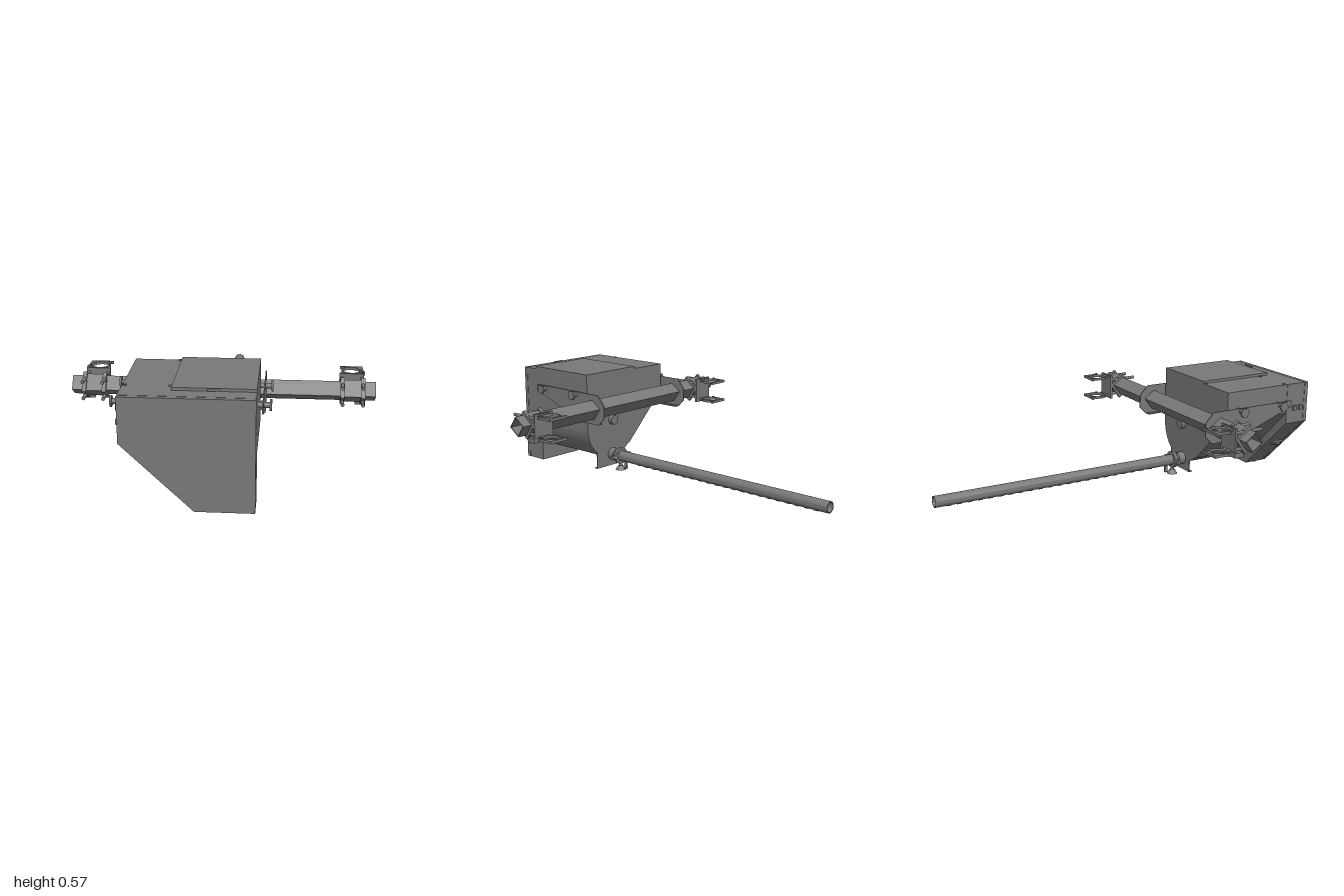
import * as THREE from 'three';
import { toCreasedNormals } from 'three/addons/utils/BufferGeometryUtils.js';

const material = new THREE.MeshStandardMaterial({ color: 0x787878, side: THREE.DoubleSide });

function add(parent, name, geometry, x = 0, y = 0, z = 0) {
  const mesh = new THREE.Mesh(geometry, material);
  mesh.name = name;
  mesh.position.set(x, y, z);
  parent.add(mesh);
  return mesh;
}

const box = (w, h, d) => new THREE.BoxGeometry(w, h, d);
const vectors = (points) => points.map(([x, y]) => new THREE.Vector2(x, y));
const shapeOf = (points) => new THREE.Shape(vectors(points));

// Extrusion centred on its own depth, along z
function plate(shape, depth) {
  const g = new THREE.ExtrudeGeometry(shape, { depth, bevelEnabled: false, curveSegments: 24 });
  g.translate(0, 0, -depth / 2);
  return toCreasedNormals(g, 0.5);
}
// Profile given as (z, y), extruded along x
const sidePlate = (shape, depth) => plate(shape, depth).rotateY(-Math.PI / 2);
// Profile given as (x, z), extruded along y
const flatPlate = (shape, depth) => plate(shape, depth).rotateX(Math.PI / 2);

function cylinder(r, length, axis = 'y', sides = 20) {
  const g = new THREE.CylinderGeometry(r, r, length, sides);
  if (axis === 'x') g.rotateZ(Math.PI / 2);
  if (axis === 'z') g.rotateX(Math.PI / 2);
  return g;
}

function ringShape(outer, inner) {
  const s = new THREE.Shape().absarc(0, 0, outer, 0, Math.PI * 2);
  s.holes.push(new THREE.Path().absarc(0, 0, inner, 0, Math.PI * 2, true));
  return s;
}

const BAR = { y: 0.388, z: 0.395, side: 0.075, turn: 0.62 };

// Square outline turned to match the crossbar
function turnedSquare(side) {
  return [0, 1, 2, 3].map((i) => {
    const a = BAR.turn + Math.PI / 4 + (i * Math.PI) / 2;
    return [Math.cos(a) * side * Math.SQRT1_2, Math.sin(a) * side * Math.SQRT1_2];
  });
}

function squareTube(outer, inner) {
  const s = shapeOf(turnedSquare(outer));
  s.holes.push(new THREE.Path(vectors(turnedSquare(inner).reverse())));
  return s;
}

function buildHopper() {
  const g = new THREE.Group();
  g.name = 'hopper';
  // Round-bottomed trough with one sloping wall
  const trough = new THREE.Shape();
  trough.moveTo(0.19, 0.555);
  trough.lineTo(-0.418, 0.555);
  trough.lineTo(-0.418, 0.395);
  trough.lineTo(-0.139, 0.118);
  trough.absarc(0, 0.257, 0.19, Math.PI * 1.25, Math.PI * 2, false);
  add(g, 'trough', plate(trough, 0.39), 0, 0, 0.665);

  // Deep drive cover at the front
  const cover = shapeOf([[-0.42, 0.555], [-0.42, 0.335], [-0.085, 0.013], [0.19, 0.013], [0.19, 0.555]]);
  add(g, 'frontCover', plate(cover, 0.115), 0, 0, 0.9175);
  add(g, 'frontDoor', plate(cover, 0.022), 0, 0, 0.989);
  const rim = shapeOf([[-0.418, 0.553], [-0.418, 0.336], [-0.084, 0.015], [0.188, 0.015], [0.188, 0.553]]);
  add(g, 'doorSeal', plate(rim, 0.01), 0, 0, 0.977);

  // Lid with its grip and hinge studs
  add(g, 'lid', box(0.38, 0.015, 0.43), 0, 0.5615, 0.685);
  add(g, 'lidGrip', box(0.06, 0.012, 0.012), 0, 0.569, 0.917);
  for (const [x, z] of [[-0.2, 0.48], [-0.2, 0.845], [-0.405, 0.845]])
    add(g, 'topStud', cylinder(0.009, 0.008), x, 0.555, z);

  // Latch on the sloping side, side latches, and drain studs below
  const latch = new THREE.Group();
  latch.name = 'latch';
  latch.position.set(-0.253, 0.178, 0.94);
  latch.rotation.z = -Math.PI / 4;
  add(latch, 'latchBody', box(0.026, 0.025, 0.07));
  add(latch, 'latchLever', box(0.012, 0.03, 0.035), 0, -0.006, 0);
  g.add(latch);
  for (const x of [-0.07, -0.025]) add(g, 'drainStud', cylinder(0.009, 0.01), x, 0.011, 0.93);
  for (const z of [0.91, 0.95]) add(g, 'sideLatch', box(0.014, 0.025, 0.022), -0.426, 0.42, z);

  // Rear apron and bearing hub
  add(g, 'rearApron', box(0.19, 0.1, 0.006), 0.025, 0.065, 0.473);
  add(g, 'apronLip', box(0.19, 0.005, 0.02), 0.025, 0.017, 0.482);
  add(g, 'bearingHub', cylinder(0.027, 0.03, 'z'), 0, 0.285, 0.46);
  return g;
}

function buildTube() {
  const g = new THREE.Group();
  g.name = 'dischargeTube';
  add(g, 'tube', plate(ringShape(0.03, 0.025), 1.48), 0, 0.082, -0.26);
  add(g, 'sleeve', plate(ringShape(0.035, 0.028), 0.05), 0, 0.082, 0.455);
  add(g, 'clampRing', plate(ringShape(0.047, 0.029), 0.018), 0, 0.082, 0.403);
  add(g, 'clampStem', cylinder(0.01, 0.04), 0, 0.03, 0.403);
  add(g, 'clampKnob', new THREE.CylinderGeometry(0.014, 0.03, 0.024, 16), 0, 0.012, 0.403);
  for (const s of [-1, 1]) add(g, 'clampEar', box(0.035, 0.02, 0.016), s * 0.055, 0.082, 0.403);
  add(g, 'tubeTab', box(0.012, 0.045, 0.014), 0, 0.035, 0.36);
  // Row of outlets along the underside
  for (let i = 0; i < 22; i++)
    add(g, 'outlet', box(0.018, 0.004, 0.025), 0, 0.0525, 0.25 - i * 0.056);
  return g;
}

function buildBracket(x, side) {
  const g = new THREE.Group();
  g.name = side > 0 ? 'leftBracket' : 'rightBracket';
  const arm = shapeOf([[0.865, 0.472], [0.865, 0.438], [0.5, 0.305], [0.355, 0.305], [0.312, 0.348],
    [0.312, 0.42], [0.36, 0.472]]);
  add(g, 'bracketPlate', sidePlate(arm, 0.006), x, 0, 0);
  // Folded lip below the crossbar
  add(g, 'bracketLip', box(0.024, 0.006, 0.115), x - side * 0.012, 0.308, 0.415);
  // Knobs holding the bracket on the hopper
  for (const z of [0.533, 0.79]) {
    add(g, 'knobSpacer', cylinder(0.013, 0.03, 'x'), x - side * 0.012, 0.455, z);
    add(g, 'knobShaft', cylinder(0.013, 0.03, 'x'), x + side * 0.017, 0.455, z);
    add(g, 'knobHead', cylinder(0.027, 0.01, 'x', 6), x + side * 0.035, 0.455, z);
  }
  return g;
}

// Strap clamp with a pair of pipe grips, built on the left end
function buildEndClamp() {
  const g = new THREE.Group();
  // Two straps following the bar, each with bolt ends reaching forward
  for (const x of [0.588, 0.687]) {
    add(g, 'strap', sidePlate(squareTube(0.105, 0.077), 0.02), x, BAR.y, BAR.z);
    for (const y of [0.345, 0.43]) add(g, 'strapBolt', cylinder(0.009, 0.16, 'z', 8), x, y, 0.405);
  }
  add(g, 'barSleeve', sidePlate(squareTube(0.087, 0.077), 0.09), 0.636, BAR.y, BAR.z);
  add(g, 'mountPlate', box(0.12, 0.14, 0.012), 0.636, 0.385, 0.325);

  for (const y of [0.328, 0.443]) {
    // Split ring, its foot, and the swinging hook
    add(g, 'pipeRing', flatPlate(ringShape(0.05, 0.043), 0.014), 0.638, y, 0.26);
    add(g, 'gripFoot', box(0.065, 0.014, 0.02), 0.638, y, 0.313);
    const hook = new THREE.Shape();
    hook.moveTo(-0.055, -0.062);
    hook.lineTo(0.06, -0.062);
    hook.quadraticCurveTo(0.058, -0.01, 0.064, 0.025);
    hook.lineTo(0.055, 0.025);
    hook.quadraticCurveTo(0.052, -0.045, 0.015, -0.052);
    hook.lineTo(-0.055, -0.052);
    add(g, 'gripHook', flatPlate(hook, 0.014), 0.638, y, 0.262);
    add(g, 'hookPivot', cylinder(0.008, 0.018, 'y', 10), 0.697, y, 0.285);
    add(g, 'gripBolt', cylinder(0.006, 0.026, 'z', 8), 0.6, y, 0.215);
  }
  add(g, 'lowerStop', box(0.05, 0.025, 0.05), 0.68, 0.318, 0.34);
  return g;
}

export function createModel() {
  const model = new THREE.Group();
  model.name = 'hopperConveyor';
  model.add(buildHopper(), buildTube());

  // Hollow square crossbar, set on its edge
  add(model, 'crossbar', sidePlate(squareTube(BAR.side, BAR.side - 0.01), 1.5), 0, BAR.y, BAR.z);

  model.add(buildBracket(0.213, 1), buildBracket(-0.448, -1));
  for (const side of [1, -1]) {
    const clamp = buildEndClamp();
    clamp.name = side > 0 ? 'leftEndClamp' : 'rightEndClamp';
    clamp.scale.x = side;
    model.add(clamp);
  }
  return model;
}
